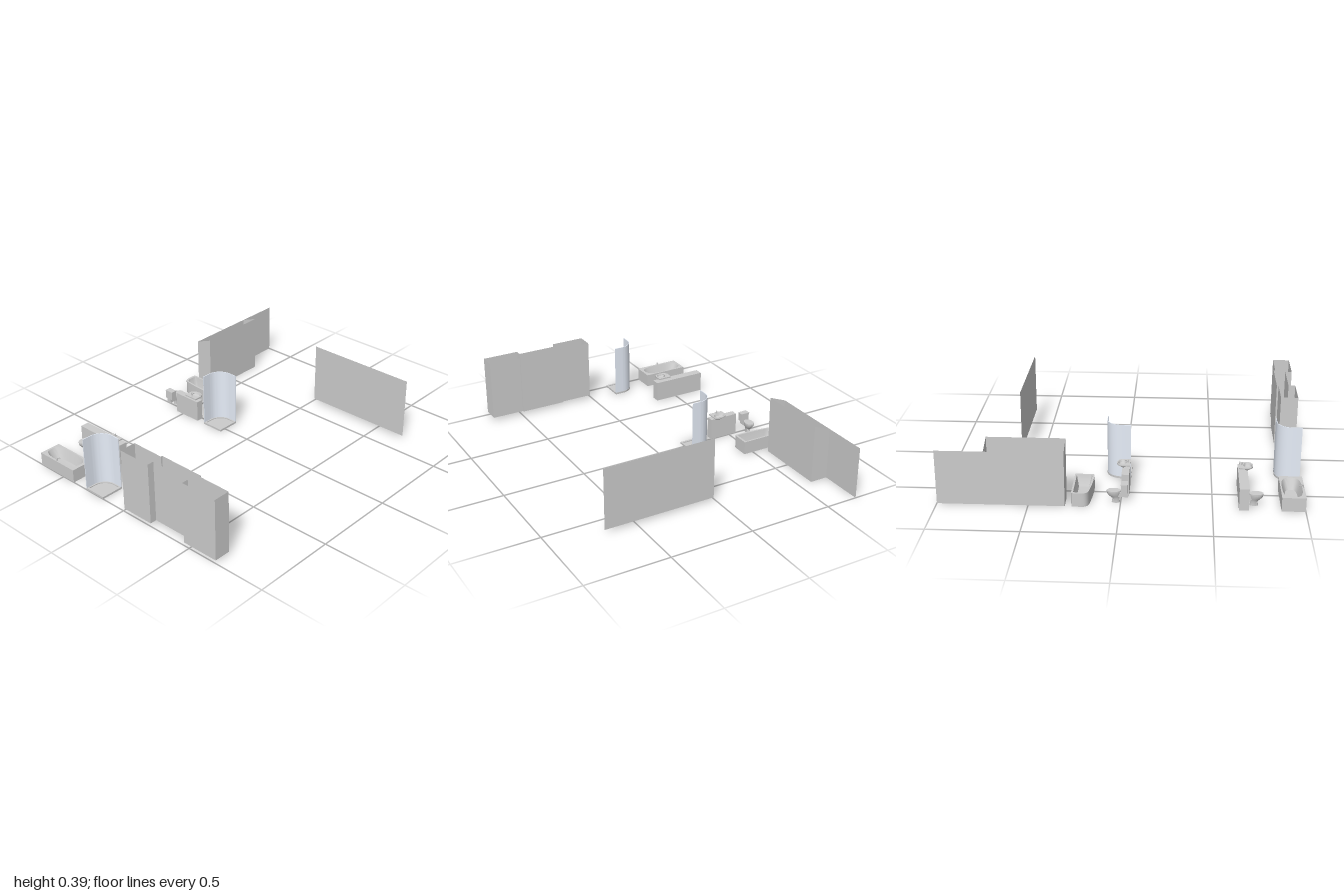
import * as THREE from 'three';
import { toCreasedNormals } from 'three/addons/utils/BufferGeometryUtils.js';

const grey = new THREE.MeshStandardMaterial({ color: 0xcccccc, side: THREE.DoubleSide });
const glass = new THREE.MeshStandardMaterial({ color: 0xe6edf8, side: THREE.DoubleSide });
const V = (x, z) => new THREE.Vector2(x, z);

function add(parent, name, geo, mat = grey) {
  const mesh = new THREE.Mesh(geo, mat);
  mesh.name = name;
  parent.add(mesh);
  return mesh;
}

function box(x0, x1, y0, y1, z0, z1) {
  return new THREE.BoxGeometry(x1 - x0, y1 - y0, z1 - z0)
    .translate((x0 + x1) / 2, (y0 + y1) / 2, (z0 + z1) / 2);
}

// Plan outline (x, z) extruded from y0 up to y1, with an optional hole
function slab(points, y0, y1, hole) {
  const shape = new THREE.Shape(points);
  if (hole) shape.holes.push(new THREE.Path(hole));
  const geo = new THREE.ExtrudeGeometry(shape, { depth: y1 - y0, bevelEnabled: false });
  return toCreasedNormals(geo.rotateX(Math.PI / 2).translate(0, y1, 0), 0.6);
}

// Rounded plan ring: power 2 is an ellipse, higher is squarer
function oval(cx, cz, hx, hz, power = 2, n = 40) {
  const f = (c) => Math.sign(c) * Math.abs(c) ** (2 / power);
  return Array.from({ length: n }, (_, i) => {
    const a = (i / n) * Math.PI * 2;
    return V(cx + hx * f(Math.sin(a)), cz + hz * f(Math.cos(a)));
  });
}

// Skin through rings of equal point count, listed from top to bottom as [points, y]
function loft(rings) {
  const n = rings[0][0].length;
  const geo = new THREE.CylinderGeometry(1, 1, 1, n, rings.length - 1, true);
  const pos = geo.attributes.position;
  for (let i = 0; i < pos.count; i++) {
    const [pts, y] = rings[Math.floor(i / (n + 1))];
    const p = pts[(i % (n + 1)) % n];
    pos.setXYZ(i, p.x, y, p.y);
  }
  return toCreasedNormals(geo, 0.7);
}

// Thin upright walls along plan points [x, z, top]
function walls(points, y0) {
  const n = points.length;
  const geo = new THREE.PlaneGeometry(1, 1, n - 1, 1);
  const pos = geo.attributes.position;
  for (let i = 0; i < pos.count; i++) {
    const [x, z, top] = points[i % n];
    pos.setXYZ(i, x, i < n ? top : y0, z);
  }
  const flat = geo.toNonIndexed();
  flat.computeVertexNormals();
  return flat;
}

// Small mixer tap: upright body, arched spout towards +x, lever
function tap(parent, x, y, z) {
  const g = new THREE.Group();
  g.name = 'tap';
  add(g, 'tapBody', new THREE.CylinderGeometry(0.003, 0.004, 0.015, 12).translate(0, 0.0075, 0));
  const curve = new THREE.QuadraticBezierCurve3(new THREE.Vector3(0, 0.01, 0),
    new THREE.Vector3(0.015, 0.018, 0), new THREE.Vector3(0.02, 0.008, 0));
  add(g, 'tapSpout', new THREE.TubeGeometry(curve, 8, 0.002, 8));
  add(g, 'tapLever', box(-0.002, 0.009, 0.016, 0.018, -0.002, 0.002));
  g.position.set(x, y, z);
  parent.add(g);
}

function group(parent, name, x, z, turn = 0) {
  const g = new THREE.Group();
  g.name = name;
  g.position.set(x, 0, z);
  g.rotation.y = turn;
  parent.add(g);
  return g;
}

// Washbasin with its back edge on x = 0, facing +x
function washbasin(parent, name, x, z, turn, y) {
  const g = group(parent, name, x, z, turn);
  const outline = [V(0, -0.044)];
  for (let i = 0; i <= 20; i++) {
    const a = -Math.PI / 2 + (i / 20) * Math.PI;
    outline.push(V(0.043 + 0.033 * Math.cos(a), 0.044 * Math.sin(a)));
  }
  outline.push(V(0, 0.044));
  const rim = oval(0.046, 0, 0.024, 0.035);
  add(g, 'basinRim', slab(outline, y + 0.012, y + 0.02, rim));
  add(g, 'basinBowl', loft([[rim, y + 0.02], [oval(0.046, 0, 0.019, 0.028), y + 0.008],
    [oval(0.046, 0, 0.01, 0.015), y + 0.004], [oval(0.046, 0, 0, 0), y + 0.004]]));
  add(g, 'basinUnderside', loft([[oval(0.044, 0, 0.03, 0.042), y + 0.012],
    [oval(0.042, 0, 0.018, 0.026), y], [oval(0.042, 0, 0, 0), y]]));
  tap(g, 0.013, y + 0.02, 0);
}

// Toilet with its back on x = 0, facing +x
function toilet(parent, name, x, z, turn, tank) {
  const g = group(parent, name, x, z, turn);
  const s = tank ? 0.036 : 0;
  add(g, 'toiletBowl', loft([[oval(0.041 + s, 0, 0.038, 0.026), 0.064],
    [oval(0.041 + s, 0, 0.036, 0.025), 0.052], [oval(0.036 + s, 0, 0.028, 0.018), 0.037],
    [oval(0.03 + s, 0, 0.019, 0.012), 0.024], [oval(0.03 + s, 0, 0.023, 0.014), 0],
    [oval(0.03 + s, 0, 0, 0), 0]]));
  add(g, 'toiletLid', slab(oval(0.041 + s, 0, 0.039, 0.027), 0.064, 0.071));
  add(g, 'toiletNeck', box(0, 0.02 + s, 0.035, 0.064, -0.014, 0.014));
  if (tank) {
    add(g, 'toiletTank', box(0, 0.036, 0.06, 0.108, -0.026, 0.026));
    add(g, 'tankLid', box(0, 0.038, 0.108, 0.113, -0.028, 0.028));
  }
}

// Corner shower: tray and curved screen, square corner at (x, z), reaching +x and -z
function shower(parent, name, x, z) {
  const g = group(parent, name, x, z);
  const w = 0.14, r = 0.088;
  const curve = (inset) => {
    const pts = [V(inset > 0.006 ? inset : 0, inset - w)];
    for (let i = 0; i <= 16; i++) {
      const a = (i / 16) * Math.PI / 2;
      pts.push(V(w - r + (r - inset) * Math.sin(a), r - w - (r - inset) * Math.cos(a)));
    }
    return pts.concat(V(w - inset, inset > 0.006 ? -inset : 0));
  };
  const outline = [...curve(0), V(0, 0)];
  add(g, 'showerTray', slab(outline, 0, 0.006));
  add(g, 'trayRim', slab(outline, 0.006, 0.012, [...curve(0.012), V(0.012, -0.012)]));
  add(g, 'showerScreen', slab([...curve(0.001), ...curve(0.005).reverse()], 0.012, 0.328), glass);
}

// Bathtub: outline, rim opening, and the rings of the basin below it
function bathtub(parent, name, outline, rings) {
  const g = group(parent, name, 0, 0);
  add(g, 'tubBase', slab(outline, 0, 0.008));
  add(g, 'tubBody', slab(outline, 0.008, 0.08, rings[0][0]));
  add(g, 'tubBasin', loft(rings));
  return g;
}

export function createModel() {
  const root = new THREE.Group();
  root.name = 'bathroomFittings';

  // Stepped open-topped cupboard with projecting middle door
  const closet = [[-1, 0.01], [-0.9, 0.01], [-0.9, 0.21], [-0.89, 0.21], [-0.89, 0.49], [-0.9, 0.49],
    [-0.9, 0.69], [-1, 0.69], [-1, 0.465], [-0.96, 0.465], [-0.96, 0.215], [-1, 0.215]];
  add(root, 'closetWalls', walls([...closet, closet[0]].map(([x, z]) => [x, z, 0.39]), 0.02));
  add(root, 'closetFloor', new THREE.ShapeGeometry(new THREE.Shape(closet.map(([x, z]) => V(x, z))))
    .rotateX(Math.PI / 2).translate(0, 0.02, 0));

  // Free-standing partition
  add(root, 'partition', walls([[0.63, 0.01, 0.39], [0.63, 0.69, 0.39]], 0.02));

  // Long back wall with a boxed-out section under a sloping ceiling
  add(root, 'backWall', walls([[0.3, -0.692, 0.312], [1, -0.692, 0.312]], 0));
  add(root, 'boxedWall', walls([[0.3, -0.692, 0.312], [0.3, -0.585, 0.354],
    [0.733, -0.585, 0.354], [0.733, -0.692, 0.312]], 0));

  // Showers
  shower(root, 'leftShower', -1, -0.165);
  shower(root, 'rightShower', -0.042, -0.177);

  // Low walls with washbasins and toilets
  add(root, 'longLowWall', box(-0.695, -0.642, 0, 0.125, -0.692, -0.357));
  add(root, 'shortLowWall', box(-0.042, 0, 0, 0.13, -0.55, -0.372));
  washbasin(root, 'leftWashbasin', -0.65, -0.422, Math.PI, 0.127);
  washbasin(root, 'rightWashbasin', -0.045, -0.425, 0, 0.13);
  toilet(root, 'leftToilet', -0.695, -0.62, Math.PI, false);
  toilet(root, 'rightToilet', -0.04, -0.622, 0, true);

  // Rectangular bathtub
  const c = [-0.933, -0.555];
  const tub = bathtub(root, 'rectangularBathtub',
    [V(-1, -0.693), V(-0.87, -0.693), V(-0.87, -0.412), V(-1, -0.412)],
    [[oval(...c, 0.055, 0.125, 3), 0.08], [oval(...c, 0.048, 0.115, 3), 0.06],
      [oval(...c, 0.034, 0.092, 3), 0.02], [oval(...c, 0, 0), 0.018]]);
  tap(tub, -0.993, 0.08, -0.555);

  // Tapered bathtub with one large rounded corner
  const plan = new THREE.Shape();
  plan.moveTo(0.265, -0.44);
  plan.lineTo(0.265, -0.685);
  plan.quadraticCurveTo(0.265, -0.695, 0.255, -0.695);
  plan.lineTo(0.205, -0.695);
  plan.quadraticCurveTo(0.172, -0.695, 0.168, -0.645);
  plan.quadraticCurveTo(0.155, -0.56, 0.155, -0.455);
  plan.quadraticCurveTo(0.155, -0.44, 0.17, -0.44);
  plan.closePath();
  const edge = plan.getSpacedPoints(60).slice(0, 60);
  const inset = (sx, sz) => edge.map((p) => V(0.213 + (p.x - 0.213) * sx, -0.568 + (p.y + 0.568) * sz));
  bathtub(root, 'taperedBathtub', edge, [[inset(0.8, 0.9), 0.08], [inset(0.72, 0.85), 0.055],
    [inset(0.55, 0.7), 0.02], [inset(0, 0), 0.018]]);

  return root;
}
